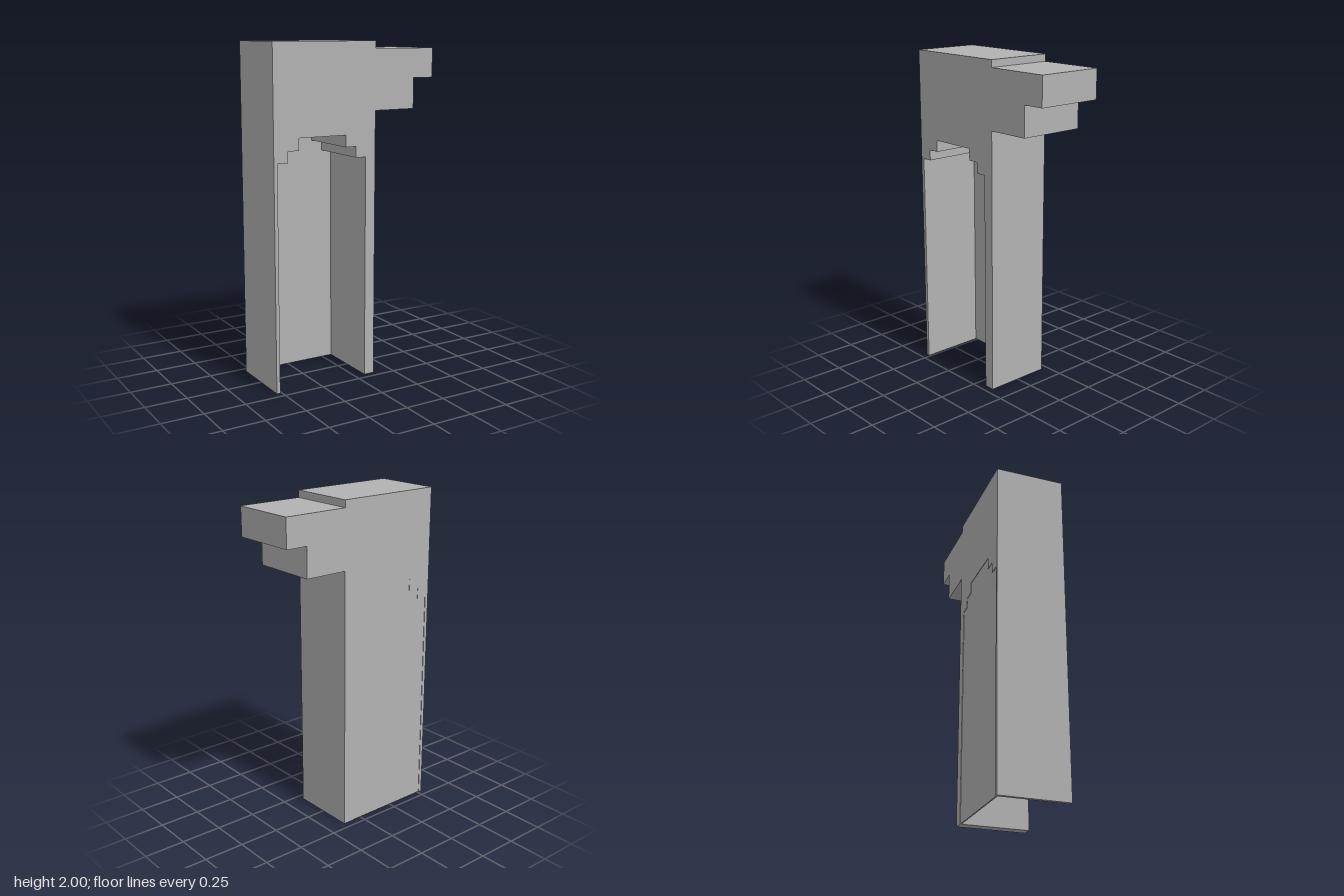
import * as THREE from 'three';

export function createModel() {
  const group = new THREE.Group();
  const stone = new THREE.MeshStandardMaterial({ color: 0xb2b2b2 });
  stone.name = 'plain grey';

  const toPoints = (list) => list.map(([x, y]) => new THREE.Vector2(x, y));

  // stepped doorway outline, shared by the frame and its back panel
  const doorway = [
    [-0.51, 0], [-0.51, 1.335], [-0.445, 1.335], [-0.445, 1.4], [-0.375, 1.4], [-0.375, 1.47],
    [-0.07, 1.47], [-0.07, 1.4], [0, 1.4], [0, 1.335], [0.065, 1.335], [0.065, 0],
  ];
  // outer silhouette with the stepped bracket on the left side
  const silhouette = [
    [0.13, 0], [0.13, 1.602], [0.398, 1.602], [0.398, 1.783], [0.532, 1.783], [0.532, 1.957],
    [0.13, 1.957], [0.13, 2], [-0.532, 2], [-0.532, 0],
  ];

  function addSlab(name, outline, back, front) {
    const geometry = new THREE.ExtrudeGeometry(new THREE.Shape(toPoints(outline)), {
      depth: front - back, bevelEnabled: false,
    });
    geometry.translate(0, 0, back);
    const mesh = new THREE.Mesh(geometry, stone);
    mesh.name = name;
    group.add(mesh);
  }

  // frame with open doorway, posts and bracket in one piece
  addSlab('doorFrame', [...silhouette, ...doorway], -0.208, 0.207);
  // thin panel closing the doorway at the back, set in by a hair
  addSlab('backPanel', doorway, -0.205, -0.197);

  return group;
}
